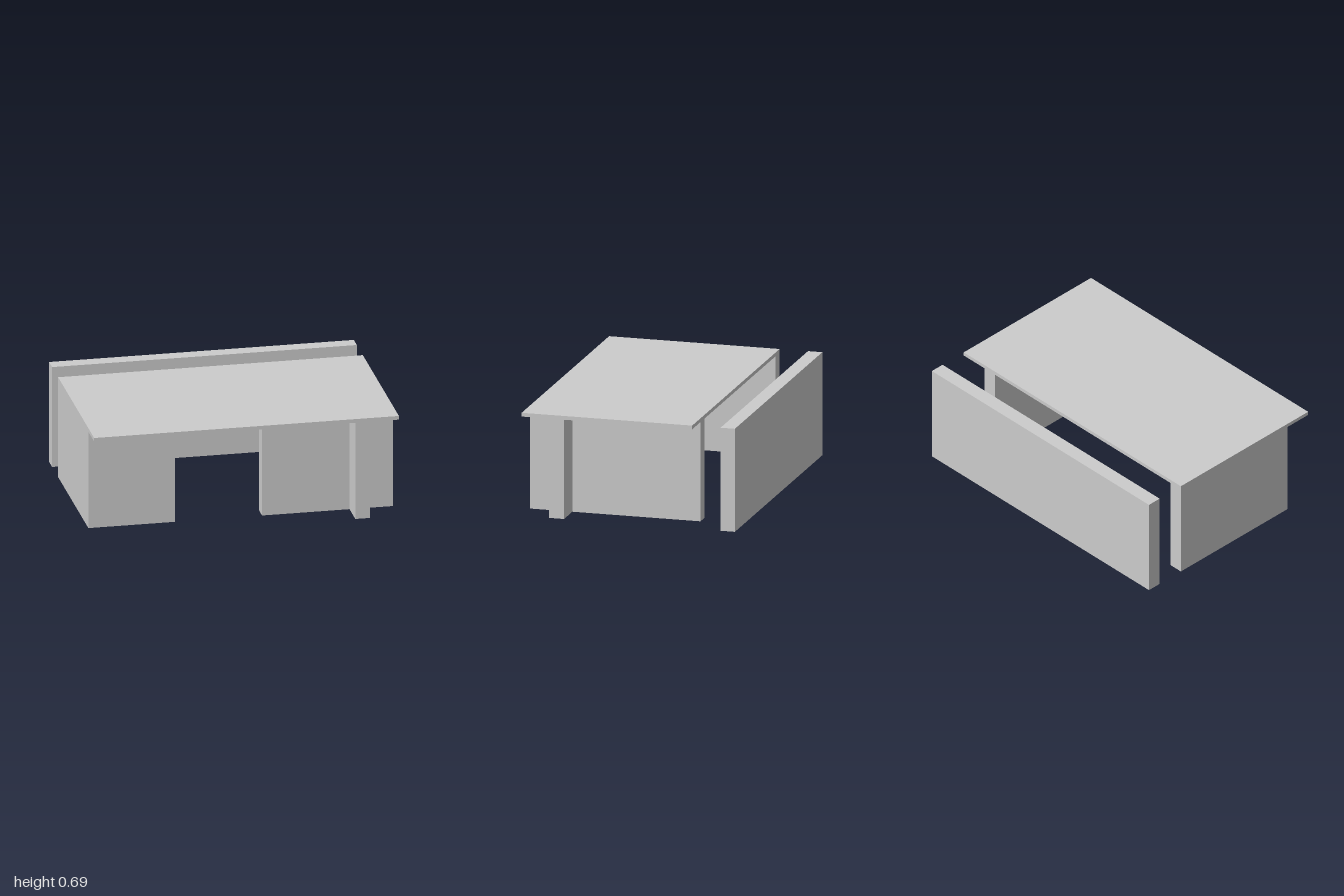
import * as THREE from 'three';

export function createModel() {
  const group = new THREE.Group();
  const material = new THREE.MeshStandardMaterial({ color: 0xcccccc });

  // Box given by its extents along each axis
  const slab = (name, [x0, x1], [y0, y1], [z0, z1]) => {
    const mesh = new THREE.Mesh(new THREE.BoxGeometry(x1 - x0, y1 - y0, z1 - z0), material);
    mesh.position.set((x0 + x1) / 2, (y0 + y1) / 2, (z0 + z1) / 2);
    mesh.name = name;
    group.add(mesh);
  };

  const top = 0.685, under = 0.66;       // roof top and underside
  const front = 0.714, back = -0.428;    // roof edges in z
  const wall = [0, under];
  const frontWall = [0.43, 0.53];

  // Flat roof and the detached wall behind it
  slab('roof', [-1, 1], [under, top], [back, front]);
  slab('rearWall', [-1, 1], [0, top], [-0.714, -0.618]);

  // L-shaped pair of walls on the -x side
  slab('rightSideWall', [-1, -0.905], wall, [back, frontWall[1]]);
  slab('rightFrontWall', [-0.905, -0.43], wall, frontWall);

  // Crossing walls on the +x side: the front wall is split by the side wall
  slab('leftSideWall', [0.714, 0.81], wall, [back, front]);
  slab('leftFrontWallInner', [0.14, 0.714], wall, frontWall);
  slab('leftFrontWallOuter', [0.81, 1], wall, frontWall);

  return group;
}
